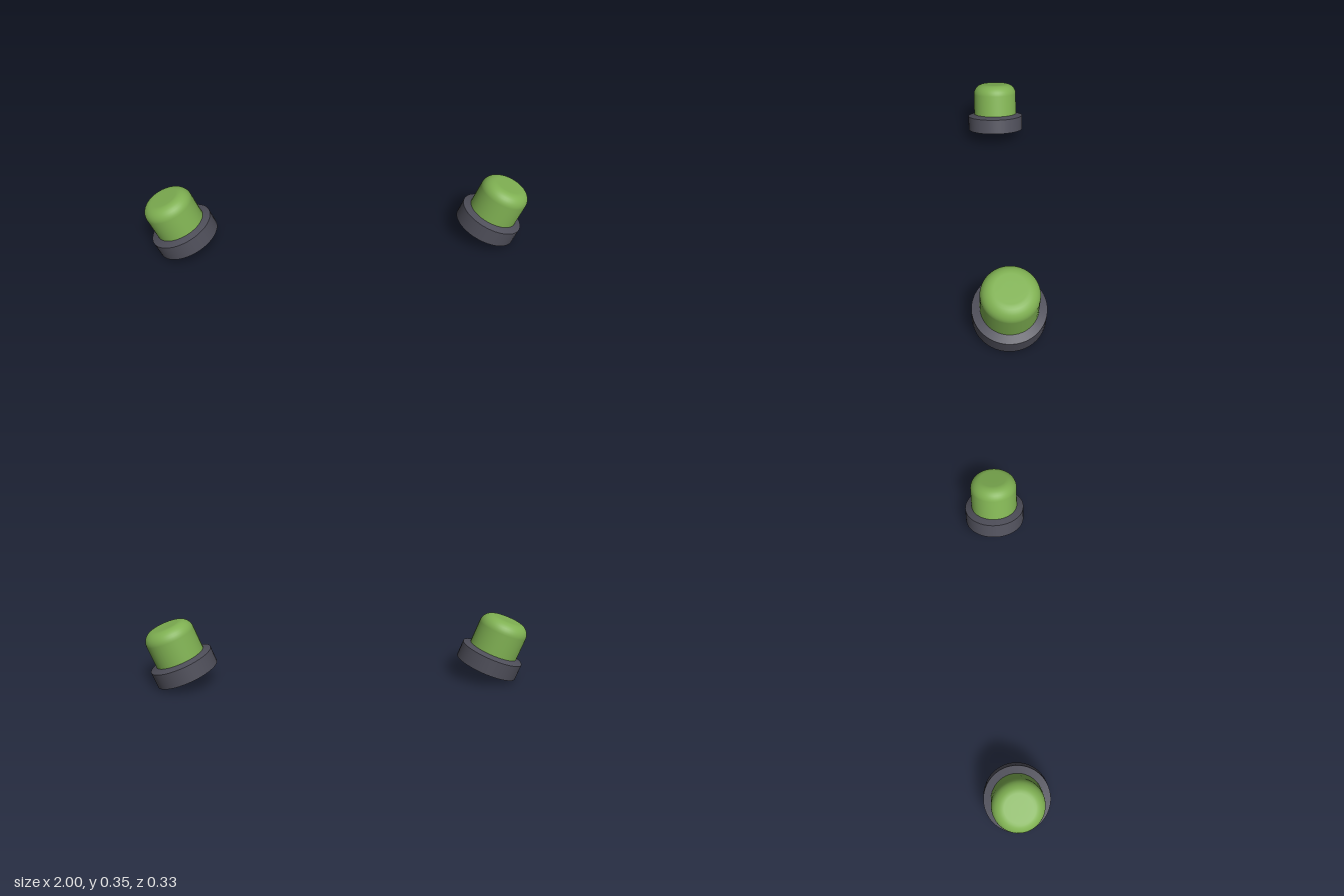
import * as THREE from 'three';

const TILT = THREE.MathUtils.degToRad(20);
const SEG = 48;

export function createModel() {
  const green = new THREE.MeshStandardMaterial({ color: 0x7fb052 });
  green.name = 'green';
  const darkGrey = new THREE.MeshStandardMaterial({ color: 0x4e4e59 });
  darkGrey.name = 'dark grey';

  // Base disc, and the shallow cone that rises from its rim to the cap
  const discGeo = new THREE.CylinderGeometry(0.167, 0.167, 0.085, SEG).translate(0, 0.0425, 0);
  const collarGeo = new THREE.CylinderGeometry(0.125, 0.167, 0.0153, SEG, 1, true).translate(0, 0.0926, 0);

  // Cap: straight wall, rounded shoulder, flat top
  const wall = 0.13, round = 0.06, shoulder = 0.221;
  const profile = [new THREE.Vector2(wall, 0.085)];
  for (let i = 0; i <= 8; i++) {
    const a = (i / 8) * Math.PI / 2;
    profile.push(new THREE.Vector2(wall - round + round * Math.cos(a), shoulder + round * Math.sin(a)));
  }
  profile.push(new THREE.Vector2(0.035, shoulder + round), new THREE.Vector2(0, shoulder + round));
  const capGeo = new THREE.LatheGeometry(profile, SEG);

  const model = new THREE.Group();
  model.name = 'buttonPair';

  // Two mirrored buttons leaning outwards
  for (const side of [1, -1]) {
    const button = new THREE.Group();
    button.name = side > 0 ? 'leftButton' : 'rightButton';
    const add = (name, geo, mat) => {
      const mesh = new THREE.Mesh(geo, mat);
      mesh.name = name;
      button.add(mesh);
    };
    add('baseDisc', discGeo, darkGrey);
    add('baseCollar', collarGeo, darkGrey);
    add('cap', capGeo, green);
    button.position.set(side * 0.799, 0.167 * Math.sin(TILT), 0);
    button.rotation.z = -side * TILT;
    model.add(button);
  }
  return model;
}
